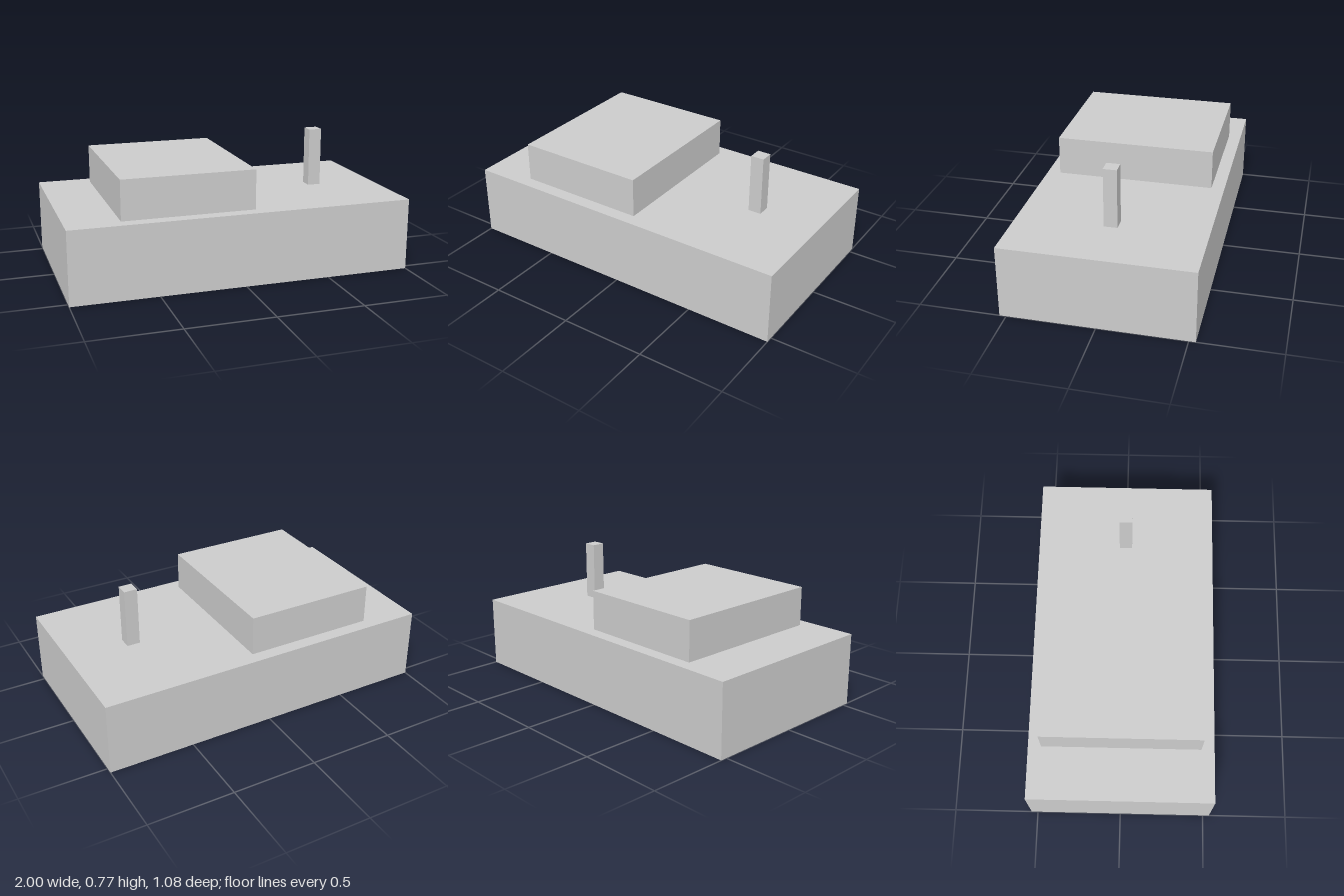
import * as THREE from 'three';

const material = new THREE.MeshStandardMaterial({ color: 0xcccccc, flatShading: true });

// Box resting on height y, centred on x
function block(name, width, height, depth, x, y) {
  const mesh = new THREE.Mesh(new THREE.BoxGeometry(width, height, depth), material);
  mesh.name = name;
  mesh.position.set(x, y + height / 2, 0);
  return mesh;
}

export function createModel() {
  const model = new THREE.Group();
  model.name = 'steppedBlock';
  const baseHeight = 0.424;

  model.add(
    // Large slab
    block('base', 2, baseHeight, 1.076, 0, 0),
    // Wide raised block, off to the right
    block('raisedBlock', 0.77, 0.231, 0.924, -0.308, baseHeight),
    // Slim square post on the left
    block('post', 0.077, 0.347, 0.077, 0.616, baseHeight),
  );
  return model;
}
